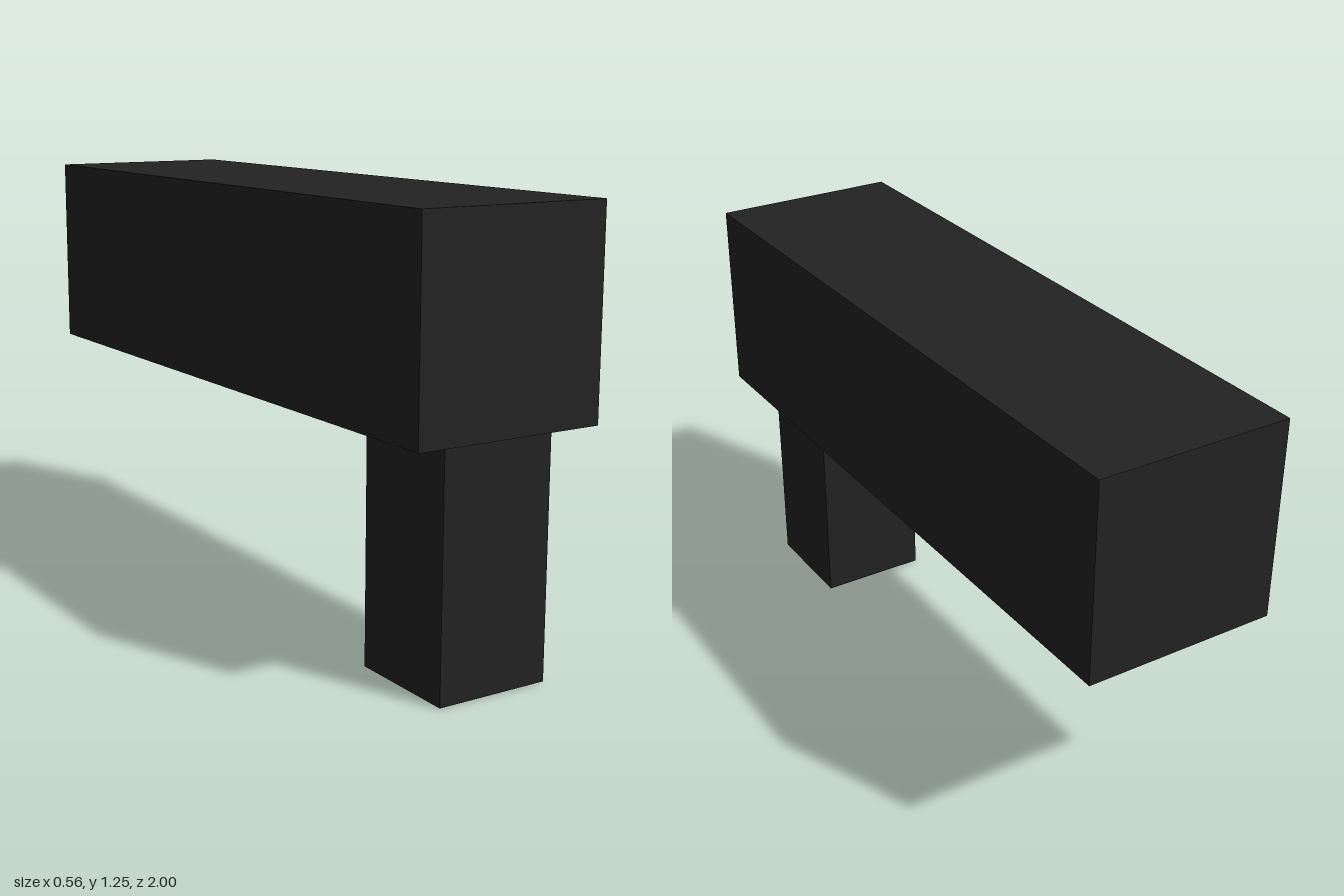
import * as THREE from 'three';

// Box centred on x = 0, given its width and its y and z ranges
function block(name, material, width, [y0, y1], [z0, z1]) {
  const mesh = new THREE.Mesh(new THREE.BoxGeometry(width, y1 - y0, z1 - z0), material);
  mesh.name = name;
  mesh.position.set(0, (y0 + y1) / 2, (z0 + z1) / 2);
  return mesh;
}

export function createModel() {
  const charcoal = new THREE.MeshStandardMaterial({ color: 0x222222 });
  charcoal.name = 'charcoal';

  const model = new THREE.Group();
  model.name = 'blockPistol';
  model.add(
    // Long square body
    block('body', charcoal, 0.562, [0.678, 1.25], [-1, 1]),
    // Upright grip under the front end
    block('grip', charcoal, 0.335, [0, 0.678], [0.622, 0.954]),
  );
  return model;
}
